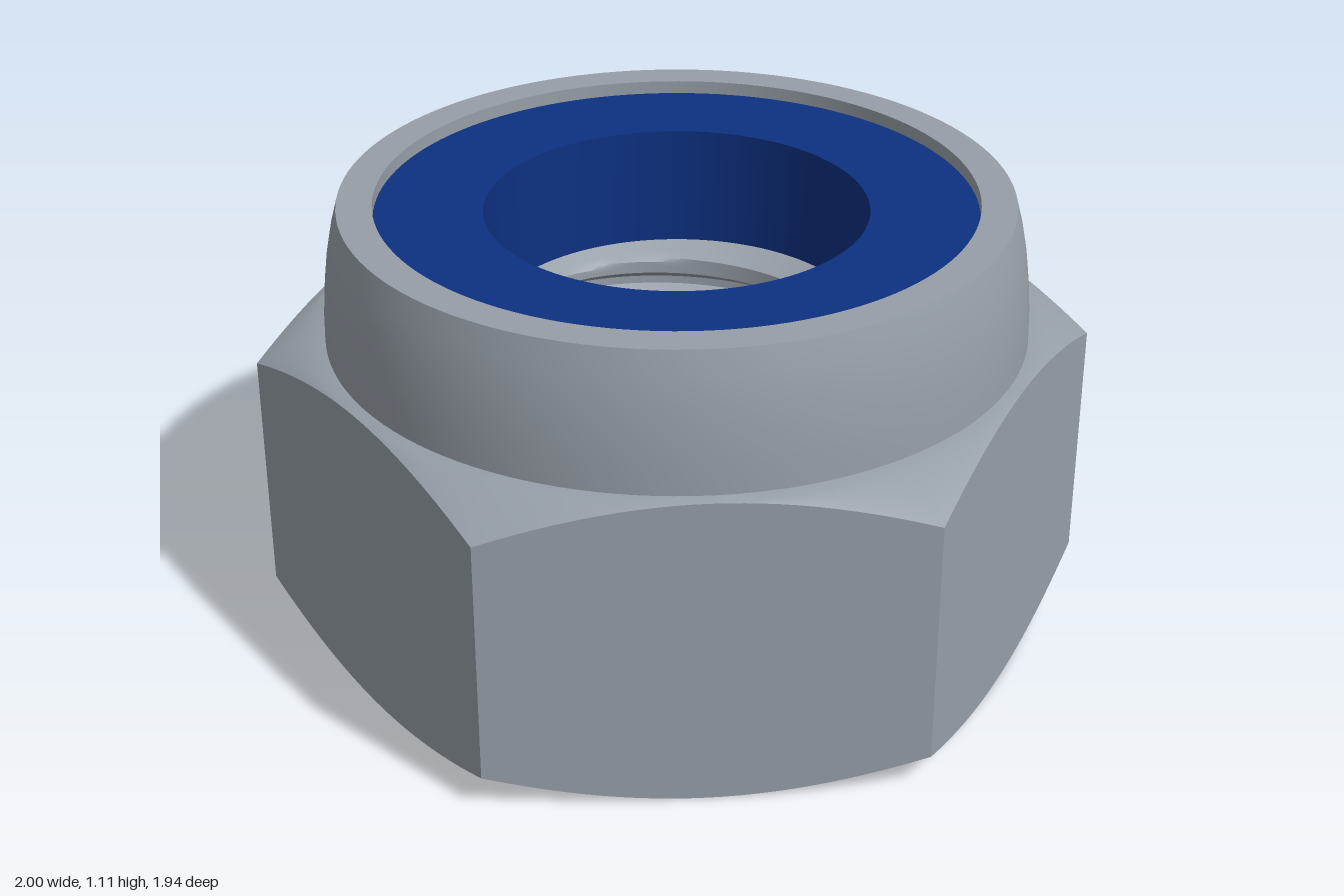
import * as THREE from 'three';
import { toCreasedNormals } from 'three/addons/utils/BufferGeometryUtils.js';

const HEX_TOP = 0.78, APOTHEM = 0.884, CHAMFER_SLOPE = 0.62;
const BORE = 0.46, ROOT = 0.55, PITCH = 0.166, SINK = 0.57;

// Sweeps a profile of [radius, y] points around the y axis; the profile may vary with the angle.
function sweep(profileAt, segments, crease) {
  const positions = [], index = [];
  let rows = 0;
  for (let i = 0; i <= segments; i++) {
    const a = (i / segments) * Math.PI * 2;
    const profile = profileAt(a);
    rows = profile.length;
    for (const [r, y] of profile) positions.push(r * Math.cos(a), y, -r * Math.sin(a));
  }
  for (let i = 0; i < segments; i++) {
    for (let j = 0; j < rows - 1; j++) {
      const a = i * rows + j, b = a + rows;
      index.push(a, b, b + 1, a, b + 1, a + 1);
    }
  }
  const g = new THREE.BufferGeometry();
  g.setAttribute('position', new THREE.Float32BufferAttribute(positions, 3));
  g.setIndex(index);
  return toCreasedNormals(g, crease);
}

// Hexagonal section whose corners are cut by cones at both ends
function hexProfile(a) {
  const sector = Math.PI / 3;
  const r = APOTHEM / Math.cos((a % sector) - sector / 2);
  const cut = CHAMFER_SLOPE * (r - APOTHEM);
  return [[SINK, 0], [APOTHEM, 0], [r, cut], [r, HEX_TOP - cut], [APOTHEM, HEX_TOP], [0.8, HEX_TOP]];
}

// Radius of the threaded bore: V grooves with flat crests and a countersink at each end
function boreRadius(a, y) {
  const t = y / PITCH - a / (Math.PI * 2);
  const d = Math.abs(t - Math.floor(t) - 0.5) * 2; // 0 at the root, 1 at the crest
  const thread = ROOT - (ROOT - BORE) * THREE.MathUtils.clamp((d - 0.125) / 0.625, 0, 1);
  const sink = SINK - Math.min(y, HEX_TOP - y) / 0.58;
  return Math.max(thread, sink);
}

// Rows follow the helix, from the top down
function threadProfile(a) {
  const steps = 16, points = [];
  for (let k = 6 * steps; k >= -steps; k--) {
    const y = THREE.MathUtils.clamp(PITCH * (k / steps + a / (Math.PI * 2)), 0, HEX_TOP);
    points.push([boreRadius(a, y), y]);
  }
  return points;
}

export function createModel() {
  const steel = new THREE.MeshStandardMaterial({ color: 0x969ea7 });
  steel.name = 'steel';
  const blue = new THREE.MeshStandardMaterial({ color: 0x0d3080 });
  blue.name = 'blue nylon';

  const nut = new THREE.Group();
  nut.name = 'lockNut';
  const add = (name, geometry, material) => {
    const mesh = new THREE.Mesh(geometry, material);
    mesh.name = name;
    nut.add(mesh);
    return mesh;
  };

  // Hexagonal body, turned slightly about its axis
  add('hexBody', sweep(hexProfile, 144, 0.65), steel).rotation.y = -0.208;

  // Internal thread
  add('thread', sweep(threadProfile, 120, 0.6), steel);

  // Seat under the insert
  add('insertSeat', sweep(() => [[0.73, 0.77], [SINK - 0.01, 0.77]], 96, 0.5), steel);

  // Crimped collar with its lip
  const collar = [
    [0.85, 0.77], [0.848, 0.85], [0.842, 0.92], [0.833, 0.99], [0.82, 1.055], [0.805, 1.11],
    [0.72, 1.11], [0.72, 0.77],
  ];
  add('collar', sweep(() => collar, 128, 0.5), steel);

  // Locking ring held inside the collar
  const ring = [[BORE, 0.775], [0.72, 0.775], [0.72, 1.077], [BORE, 1.077], [BORE, 0.775]];
  add('lockingInsert', sweep(() => ring, 128, 0.5), blue);

  return nut;
}
